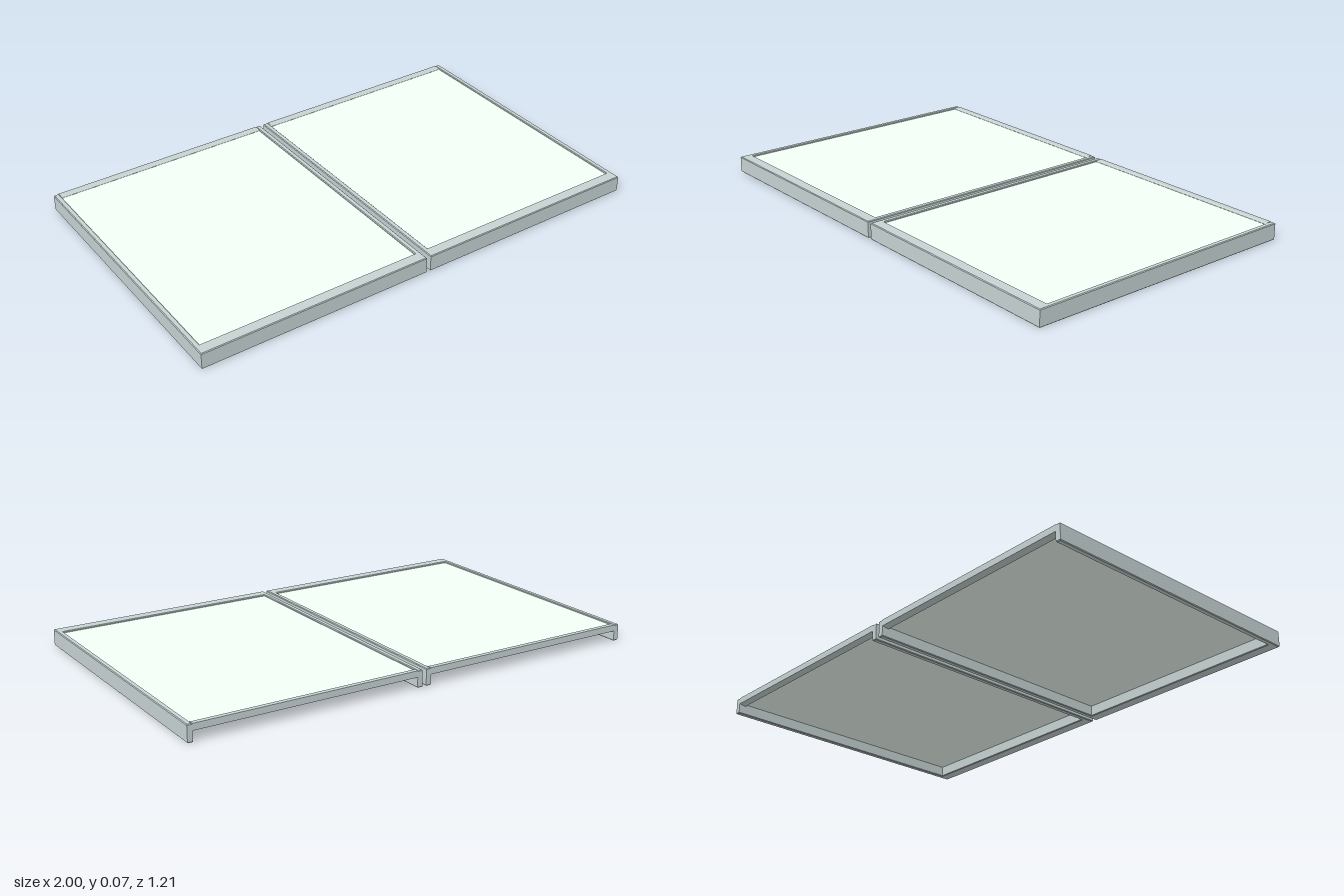
import * as THREE from 'three';

const frameMat = new THREE.MeshStandardMaterial({ color: 0xc6d2d2 });
const paneMat = new THREE.MeshStandardMaterial({ color: 0xf3fef7 });

const INNER = 0.009, OUTER = 1, BACK = -0.605, FRONT = 0.605, TOP = 0.07;
const RAIL = 0.022, FRONT_RAIL = 0.05, BACK_RAIL = 0.03, BEVEL = 0.003;

const outline = (points) => new THREE.Shape(points.map(([a, b]) => new THREE.Vector2(a, b)));

function part(name, geometry, material) {
  const mesh = new THREE.Mesh(geometry, material);
  mesh.name = name;
  return mesh;
}

function createPanel(name, side) {
  const panel = new THREE.Group();
  panel.name = name;
  const [x0, x1] = side > 0 ? [INNER, OUTER] : [-OUTER, -INNER];
  const left = x0 + RAIL, right = x1 - RAIL, width = right - left;
  const paneFront = FRONT - FRONT_RAIL, paneBack = BACK + BACK_RAIL;

  // U-shaped frame: two side rails and the wider front rail, with softened edges
  const frame = new THREE.ExtrudeGeometry(outline([
    [x0, BACK], [left, BACK], [left, paneFront], [right, paneFront],
    [right, BACK], [x1, BACK], [x1, FRONT], [x0, FRONT]
  ]), { depth: TOP - 2 * BEVEL, bevelThickness: BEVEL, bevelSize: BEVEL, bevelOffset: -BEVEL, bevelSegments: 1 });
  frame.rotateX(Math.PI / 2).translate(0, TOP - BEVEL, 0);

  // shallow back rail with a gentle chamfer down to the pane
  const backRail = new THREE.ExtrudeGeometry(outline([
    [BACK, 0.043], [paneBack, 0.039], [paneBack, 0.065], [paneBack - 0.01, TOP], [BACK, TOP]
  ]), { depth: width, bevelEnabled: false });
  backRail.rotateY(-Math.PI / 2).translate(right, 0, 0);

  // slightly recessed flat pane
  const pane = new THREE.BoxGeometry(width, 0.018, paneFront - paneBack);
  pane.translate((left + right) / 2, 0.055, (paneFront + paneBack) / 2);

  panel.add(part('frame', frame, frameMat), part('backRail', backRail, frameMat), part('pane', pane, paneMat));
  return panel;
}

export function createModel() {
  const model = new THREE.Group();
  model.name = 'framedPanels';
  model.add(createPanel('leftPanel', 1), createPanel('rightPanel', -1));
  return model;
}
